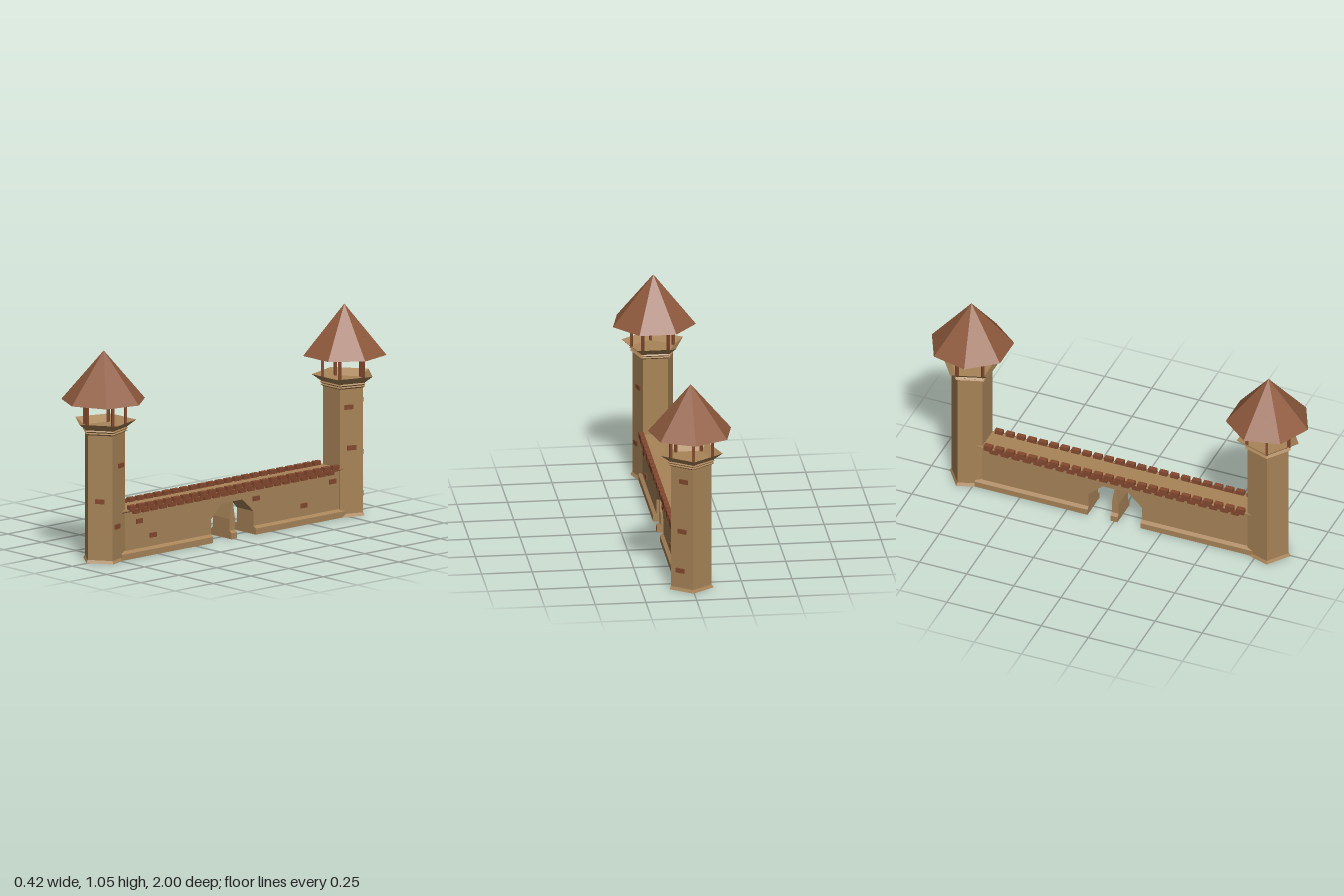
import * as THREE from 'three';

const stone = new THREE.MeshStandardMaterial({ color: 0xa88458, flatShading: true, side: THREE.DoubleSide });
const brick = new THREE.MeshStandardMaterial({ color: 0x84492f, flatShading: true });
const tile = new THREE.MeshStandardMaterial({ color: 0x8f5a3d, flatShading: true, side: THREE.DoubleSide });

const TOWER_Z = 0.79;
const APOTHEM = 0.105 * Math.cos(Math.PI / 5);

function add(parent, name, geometry, material, x = 0, y = 0, z = 0) {
  const mesh = new THREE.Mesh(geometry, material);
  mesh.name = name;
  mesh.position.set(x, y, z);
  parent.add(mesh);
  return mesh;
}

function shapeFrom(points) {
  return new THREE.Shape(points.map(([x, y]) => new THREE.Vector2(x, y)));
}

// Closed cross-section stretched along z between two ends
function bar(points, z0, z1) {
  const g = new THREE.ExtrudeGeometry(shapeFrom(points), { depth: z1 - z0, bevelEnabled: false });
  return g.translate(0, 0, z0);
}

// Five-sided tower with flared parapet, posts and seven-sided roof; one corner points outwards (+z)
function makeTower(name) {
  const tower = new THREE.Group();
  tower.name = name;
  const profile = [
    [0, 0], [0.115, 0], [0.105, 0.015], [0.105, 0.64], [0.118, 0.648], [0.109, 0.653],
    [0.12, 0.66], [0.114, 0.666], [0.16, 0.7], [0.112, 0.668], [0, 0.668],
  ].map(([r, y]) => new THREE.Vector2(r, y));
  add(tower, 'towerBody', new THREE.LatheGeometry(profile, 5), stone);

  for (let i = 0; i < 5; i++) {
    const a = (i / 5) * Math.PI * 2;
    const post = add(tower, 'roofPost', new THREE.BoxGeometry(0.013, 0.235, 0.013), brick,
      Math.sin(a) * 0.108, 0.7825, Math.cos(a) * 0.108);
    post.rotation.y = a;
  }
  add(tower, 'roof', new THREE.ConeGeometry(0.21, 0.25, 7, 1, true), tile, 0, 0.925, 0);
  return tower;
}

// Protruding brick on a tower face: face direction in degrees, offset along the face, height
function towerBrick(parent, tower, degrees, along, y) {
  const a = THREE.MathUtils.degToRad(degrees);
  const mesh = add(parent, 'towerBrick', new THREE.BoxGeometry(0.046, 0.023, 0.014), brick,
    tower.position.x + Math.sin(a) * APOTHEM + Math.cos(a) * along, y,
    tower.position.z + Math.cos(a) * APOTHEM - Math.sin(a) * along);
  mesh.rotation.y = a;
}

export function createModel() {
  const model = new THREE.Group();
  model.name = 'castleGateWall';

  // Towers at both ends
  const front = makeTower('frontTower');
  front.position.set(-0.004, 0, TOWER_Z);
  const back = makeTower('backTower');
  back.position.set(0.004, 0, -TOWER_Z);
  back.rotation.y = Math.PI;
  model.add(front, back);

  for (const [deg, s, y] of [[36, 0, 0.31], [108, 0.015, 0.48], [108, -0.017, 0.18]])
    towerBrick(model, front, deg, s, y);
  for (const [deg, s, y] of [[72, -0.015, 0.55], [72, 0, 0.345], [144, 0.01, 0.57], [144, 0, 0.31], [144, -0.01, 0.105]])
    towerBrick(model, back, deg, s, y);

  // Wall with two gate openings and a slim pier between them
  const half = [[0.018, 0], [0.018, 0.1], [0.004, 0.185], [0.067, 0.185], [0.141, 0.115], [0.141, 0], [0.706, 0], [0.706, 0.24]];
  const outline = [...half, ...half.map(([z, y]) => [-z, y]).reverse()];
  const wallGeometry = new THREE.ExtrudeGeometry(shapeFrom(outline), { depth: 0.12, bevelEnabled: false });
  wallGeometry.translate(0, 0, -0.06).rotateY(Math.PI / 2);
  add(model, 'wall', wallGeometry, stone);

  // Sloped plinth, broken at the gate openings
  const plinth = [[-0.076, 0], [0.076, 0], [0.076, 0.03], [0.06, 0.042], [-0.06, 0.042], [-0.076, 0.03]];
  for (const [z0, z1] of [[-0.74, -0.141], [-0.018, 0.018], [0.141, 0.74]])
    add(model, 'plinth', bar(plinth, z0, z1), stone);

  // Walkway slab with a flared edge
  const slab = [[-0.06, 0.232], [0.06, 0.232], [0.073, 0.24], [0.073, 0.247], [-0.073, 0.247], [-0.073, 0.24]];
  add(model, 'walkway', bar(slab, -0.735, 0.735), stone);

  // Battlements: upper merlons with staggered corbels below
  const pitch = 0.0582;
  for (const side of [-1, 1]) {
    for (let i = 0; i < 24; i++) {
      const z = (i - 11.5) * pitch;
      add(model, 'merlon', new THREE.BoxGeometry(0.024, 0.03, 0.042), brick, side * 0.068, 0.253, z);
      if (i < 23)
        add(model, 'corbel', new THREE.BoxGeometry(0.022, 0.024, 0.04), brick, side * 0.066, 0.235, z + pitch / 2);
    }
  }

  // Loose bricks standing out of the wall's left face
  for (const [z, y] of [[0.615, 0.18], [0.525, 0.097], [-0.155, 0.178], [-0.47, 0.095], [-0.66, 0.187]])
    add(model, 'wallBrick', new THREE.BoxGeometry(0.014, 0.023, 0.042), brick, 0.06, y, z);

  return model;
}
